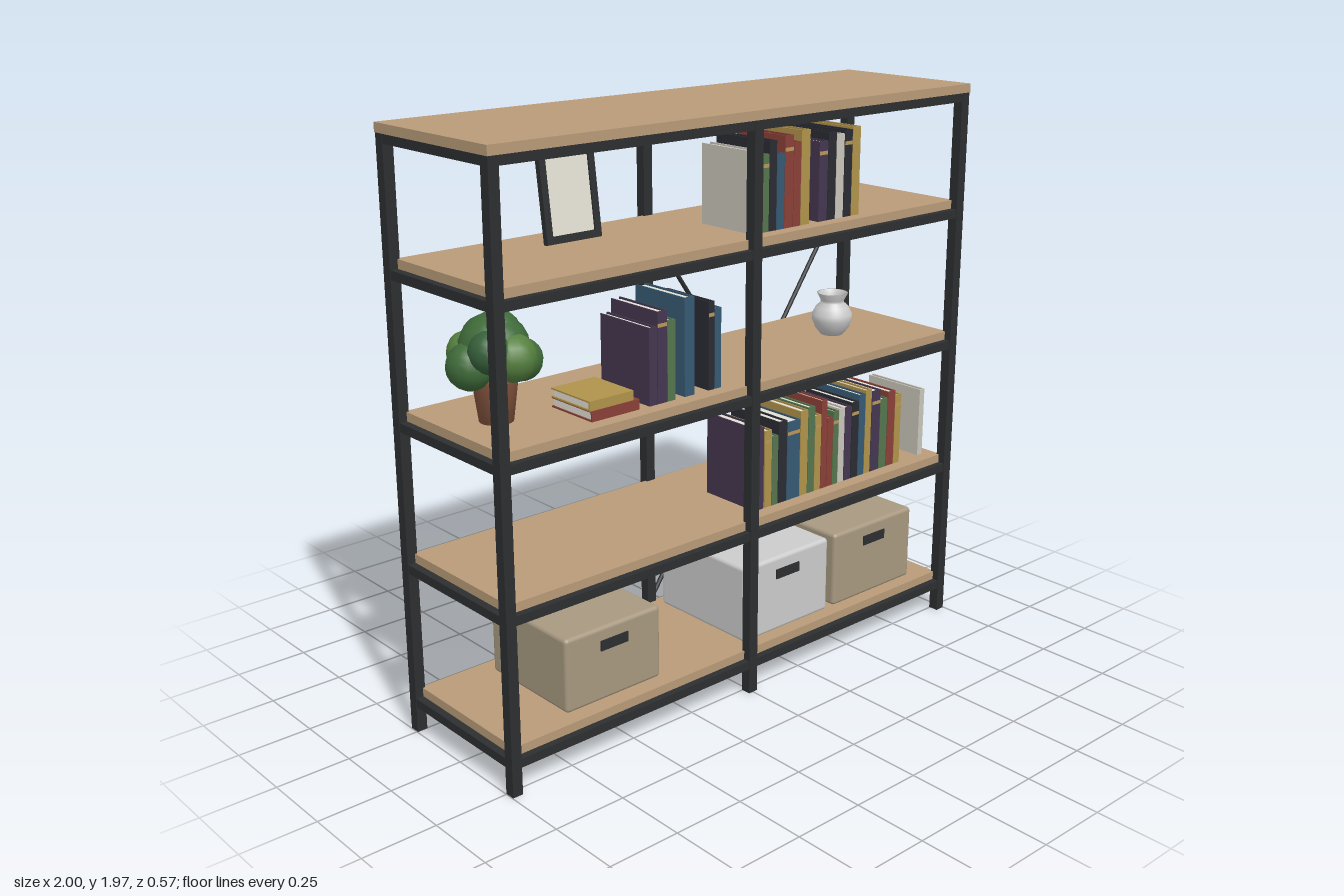
import * as THREE from 'three';
import { RoundedBoxGeometry } from 'three/addons/geometries/RoundedBoxGeometry.js';

const paint = (color) => new THREE.MeshStandardMaterial({ color });
const wood = paint(0xb89b78), steel = paint(0x2c2e30), paper = paint(0xe2dfd4), gold = paint(0xb8965a);
const beige = paint(0xa79880), grey = paint(0xcccccc), terracotta = paint(0x85553f), soil = paint(0x3a2a20);
const covers = {
  c: paint(0xc9c5ba), g: paint(0x55754e), k: paint(0x2a2b33), b: paint(0x365a72),
  r: paint(0x8a4038), m: paint(0xb0934c), p: paint(0x443650),
};

function add(parent, name, geometry, material, x = 0, y = 0, z = 0) {
  const mesh = new THREE.Mesh(geometry, material);
  mesh.name = name;
  mesh.position.set(x, y, z);
  parent.add(mesh);
  return mesh;
}

// Box given by its two extremes on each axis
function block(parent, name, material, x0, x1, y0, y1, z0, z1) {
  return add(parent, name, new THREE.BoxGeometry(x1 - x0, y1 - y0, z1 - z0), material,
    (x0 + x1) / 2, (y0 + y1) / 2, (z0 + z1) / 2);
}

function group(parent, name) {
  const g = new THREE.Group();
  g.name = name;
  parent.add(g);
  return g;
}

// Upright book: two covers, a spine at the front and inset pages
function book(parent, key, x0, x1, y0, y1, depth, banded) {
  const g = group(parent, 'book'), mat = covers[key], t = 0.005;
  const front = 0.208, back = front - depth;
  block(g, 'coverLeft', mat, x1 - t, x1, y0, y1, back, front);
  block(g, 'coverRight', mat, x0, x0 + t, y0, y1, back, front);
  block(g, 'spine', mat, x0 + t, x1 - t, y0, y1, front - t, front);
  block(g, 'pages', paper, x0 + t, x1 - t, y0 + 0.004, y1 - 0.006, back + 0.006, front - t);
  if (banded) {
    const y = y0 + (y1 - y0) * 0.83;
    block(g, 'spineBand', gold, x0 + 0.001, x1 - 0.001, y, y + 0.012, front, front + 0.001);
  }
}

// Row entries: cover key, left edge, right edge, top
function bookRow(parent, name, y, row) {
  const g = group(parent, name);
  row.forEach(([key, x0, x1, top], i) =>
    book(g, key, x0, x1, y, top, 0.225 + 0.012 * ((i * 2 + 1) % 3), i % 3 === 1));
}

// Horizontal book
function flatBook(parent, mat, x0, x1, y0, y1, z0, z1) {
  const g = group(parent, 'flatBook'), t = 0.005;
  block(g, 'coverBottom', mat, x0, x1, y0, y0 + t, z0, z1);
  block(g, 'coverTop', mat, x0, x1, y1 - t, y1, z0, z1);
  block(g, 'spine', mat, x0, x1, y0 + t, y1 - t, z1 - t, z1);
  block(g, 'pages', paper, x0 + 0.005, x1 - 0.005, y0 + t, y1 - t, z0 + 0.005, z1 - t);
}

function storageBox(parent, mat, x0, x1, y1, z0, z1) {
  const g = group(parent, 'storageBox'), y0 = 0.15, cx = (x0 + x1) / 2;
  add(g, 'boxBody', new RoundedBoxGeometry(x1 - x0, y1 - y0, z1 - z0, 3, 0.014), mat,
    cx, (y0 + y1) / 2, (z0 + z1) / 2);
  block(g, 'boxHandle', steel, cx - 0.055, cx + 0.055, y1 - 0.08, y1 - 0.045, z1 - 0.004, z1 + 0.004);
}

function rod(parent, name, a, b, radius) {
  const mesh = add(parent, name, new THREE.CylinderGeometry(radius, radius, a.distanceTo(b), 8), steel);
  mesh.position.copy(a).add(b).multiplyScalar(0.5);
  mesh.quaternion.setFromUnitVectors(new THREE.Vector3(0, 1, 0), b.clone().sub(a).normalize());
}

function lathe(points) {
  return new THREE.LatheGeometry(points.map(([r, y]) => new THREE.Vector2(r, y)), 32);
}

export function createModel() {
  const model = new THREE.Group();
  model.name = 'bookshelf';

  // Steel frame: posts, then a ring of rails below every board
  const frame = group(model, 'frame');
  for (const x of [-0.98, 0, 0.98])
    for (const z of [-0.265, 0.265])
      block(frame, 'post', steel, x - 0.018, x + 0.018, 0, 1.94, z - 0.018, z + 0.018);
  const levels = [0.15, 0.62, 1.09, 1.567, 1.97];
  for (const y of levels) {
    const y0 = y - 0.06, y1 = y - 0.03;
    for (const s of [-1, 1]) {
      block(frame, 'longRail', steel, -0.97, 0.97, y0, y1, s * 0.265 - 0.016, s * 0.265 + 0.016);
      block(frame, 'sideRail', steel, s * 0.98 - 0.016, s * 0.98 + 0.016, y0, y1, -0.26, 0.26);
    }
  }

  // Wooden boards
  levels.forEach((y, i) => {
    const top = i === levels.length - 1;
    const hx = top ? 1 : 0.97, hz = top ? 0.285 : 0.257;
    block(model, top ? 'topBoard' : 'shelf', wood, -hx, hx, y - 0.03, y, -hz, hz);
  });

  // Crossed braces at the back of one bay
  for (const s of [-1, 1])
    rod(frame, 'crossBrace', new THREE.Vector3(0.49 - s * 0.475, 1.52, -0.265),
      new THREE.Vector3(0.49 + s * 0.475, 0.16, -0.265), 0.008);

  // Leaning picture frame
  const picture = group(model, 'pictureFrame');
  picture.position.set(-0.432, 1.568, -0.095);
  picture.rotation.x = -0.13;
  for (const s of [-1, 1]) {
    const x = s * 0.094, y = 0.142 + s * 0.13;
    block(picture, 'frameSide', steel, x - 0.012, x + 0.012, 0, 0.284, -0.01, 0.01);
    block(picture, 'frameBar', steel, -0.082, 0.082, y - 0.012, y + 0.012, -0.01, 0.01);
  }
  block(picture, 'picturePanel', paper, -0.083, 0.083, 0.022, 0.262, -0.006, 0.004);

  // Books
  bookRow(model, 'upperBooks', 1.567, [
    ['c', 0.045, 0.084, 1.83], ['g', 0.086, 0.117, 1.815], ['k', 0.119, 0.15, 1.855],
    ['b', 0.152, 0.185, 1.81], ['r', 0.187, 0.225, 1.865], ['r', 0.227, 0.259, 1.84],
    ['m', 0.261, 0.3, 1.875], ['p', 0.343, 0.383, 1.83], ['k', 0.385, 0.422, 1.855],
    ['c', 0.424, 0.46, 1.845], ['k', 0.462, 0.498, 1.855], ['m', 0.5, 0.537, 1.862],
  ]);
  bookRow(model, 'middleBooks', 1.09, [
    ['p', -0.384, -0.353, 1.34], ['p', -0.35, -0.312, 1.385], ['g', -0.309, -0.278, 1.35],
    ['b', -0.24, -0.2, 1.41], ['k', -0.14, -0.115, 1.38], ['b', -0.113, -0.086, 1.355],
  ]);
  bookRow(model, 'lowerBooks', 0.62, [
    ['p', 0.07, 0.11, 0.91], ['m', 0.115, 0.147, 0.893], ['g', 0.149, 0.177, 0.866],
    ['k', 0.18, 0.218, 0.91], ['b', 0.22, 0.28, 0.9], ['m', 0.283, 0.318, 0.925],
    ['g', 0.32, 0.352, 0.93], ['m', 0.354, 0.383, 0.893], ['r', 0.385, 0.412, 0.94],
    ['r', 0.415, 0.442, 0.87], ['g', 0.444, 0.47, 0.888], ['c', 0.472, 0.5, 0.893],
    ['p', 0.502, 0.535, 0.89], ['k', 0.537, 0.572, 0.9], ['b', 0.574, 0.605, 0.92],
    ['m', 0.607, 0.637, 0.93], ['p', 0.64, 0.683, 0.92], ['g', 0.685, 0.722, 0.88],
    ['r', 0.725, 0.762, 0.9], ['m', 0.764, 0.795, 0.88], ['c', 0.897, 0.922, 0.872],
  ]);
  const stack = group(model, 'bookStack');
  flatBook(stack, covers.r, -0.61, -0.425, 1.09, 1.124, 0.01, 0.208);
  flatBook(stack, covers.m, -0.615, -0.445, 1.124, 1.155, 0.015, 0.205);

  // Potted plant
  const plant = group(model, 'plant');
  plant.position.set(-0.81, 1.09, 0);
  add(plant, 'pot', lathe([[0, 0], [0.053, 0], [0.07, 0.13], [0.074, 0.13], [0.074, 0.15], [0.062, 0.15], [0.062, 0.135]]), terracotta);
  add(plant, 'soil', new THREE.CylinderGeometry(0.063, 0.063, 0.008, 24), soil, 0, 0.137, 0);
  const leafColors = [paint(0x3f6b3a), paint(0x55803f), paint(0x36603a)];
  const clump = (r, x, y, z, k) =>
    add(plant, 'foliage', new THREE.SphereGeometry(r, 14, 10), leafColors[k], x, y, z);
  clump(0.11, 0, 0.225, 0, 0);
  clump(0.075, 0.01, 0.268, 0.005, 0);
  for (let i = 0; i < 7; i++) {
    const a = (i / 7) * Math.PI * 2 + 0.5;
    clump(0.066 + 0.008 * (i % 2), 0.083 * Math.cos(a), 0.185 + 0.025 * (i % 3), 0.078 * Math.sin(a), i % 3);
  }

  // Vase
  add(model, 'vase', lathe([[0, 0.01], [0, 0], [0.04, 0], [0.06, 0.025], [0.072, 0.055], [0.071, 0.075],
    [0.058, 0.1], [0.042, 0.115], [0.042, 0.125], [0.055, 0.15], [0.049, 0.15], [0.036, 0.122], [0.036, 0.1], [0, 0.09]]),
    grey, 0.643, 1.09, 0);

  // Storage boxes
  storageBox(model, beige, -0.73, -0.345, 0.405, -0.195, 0.205);
  storageBox(model, grey, 0.02, 0.428, 0.425, -0.215, 0.215);
  storageBox(model, beige, 0.46, 0.868, 0.425, -0.215, 0.215);

  return model;
}
